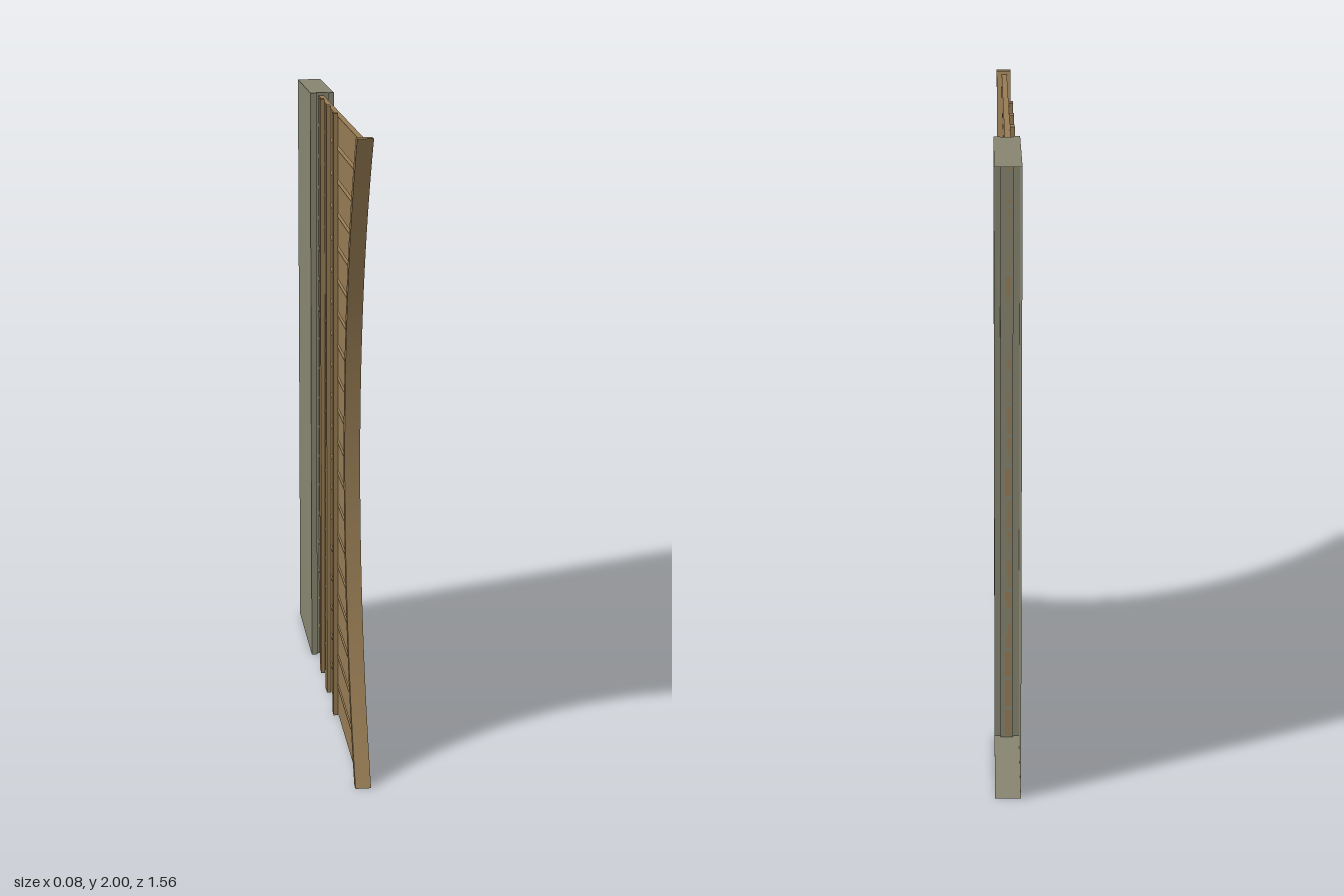
import * as THREE from 'three';
import { toCreasedNormals } from 'three/addons/utils/BufferGeometryUtils.js';

const wood = new THREE.MeshStandardMaterial({ color: 0x967b53 });
wood.name = 'wood';
const post = new THREE.MeshStandardMaterial({ color: 0x878570, side: THREE.DoubleSide });
post.name = 'greyPost';

// Concave front edge: an arc through (z 0.78, y 0), (z 0.49, y 1), (z 0.78, y 2)
const RADIUS = 1.869;
const arcZ = (y, inset = 0) => {
  const r = RADIUS + inset;
  return 0.49 + RADIUS - Math.sqrt(r * r - (y - 1) ** 2);
};
const SEGMENTS = 40;
const BACK = -0.37;

// Extrudes a side profile given as [z, y] points from xMin to xMax
function sidePanel(points, xMin, xMax) {
  const shape = new THREE.Shape(points.map(([z, y]) => new THREE.Vector2(z, y)));
  const geometry = new THREE.ExtrudeGeometry(shape, { depth: xMax - xMin, bevelEnabled: false });
  geometry.rotateY(-Math.PI / 2).translate(xMax, 0, 0);
  return toCreasedNormals(geometry, 0.4);
}

function addMesh(group, name, geometry, material) {
  const mesh = new THREE.Mesh(geometry, material);
  mesh.name = name;
  group.add(mesh);
}

// Hollow post: recessed front, capped top and bottom, open at the back
function postGeometry() {
  const profile = [
    [-0.04, 0.78], [-0.04, 0.36], [-0.02, 0.36], [-0.02, -BACK],
    [0.02, -BACK], [0.02, 0.36], [0.04, 0.36], [0.04, 0.78],
  ];
  const shape = new THREE.Shape(profile.map(([x, y]) => new THREE.Vector2(x, y)));
  const solid = new THREE.ExtrudeGeometry(shape, { depth: 2, bevelEnabled: false });
  solid.rotateX(-Math.PI / 2);
  const p = solid.attributes.position;
  const kept = [];
  for (let i = 0; i < p.count; i += 3) {
    const onBack = [0, 1, 2].every((k) => p.getZ(i + k) < -0.779);
    if (onBack) continue;
    for (let k = 0; k < 3; k++) kept.push(p.getX(i + k), p.getY(i + k), p.getZ(i + k));
  }
  const geometry = new THREE.BufferGeometry();
  geometry.setAttribute('position', new THREE.Float32BufferAttribute(kept, 3));
  geometry.computeVertexNormals();
  return geometry;
}

export function createModel() {
  const model = new THREE.Group();
  model.name = 'slattedPanel';

  addMesh(model, 'post', postGeometry(), post);

  // Horizontal slats, their front ends tucked into the curved rim
  const slats = new THREE.Group();
  slats.name = 'slats';
  for (let i = 0; i < 19; i++) {
    const y0 = 0.01 + i * 0.105;
    const y1 = y0 + 0.09;
    const outline = [[BACK, y0], [arcZ(y0, 0) - 0.015, y0], [arcZ(y1, 0) - 0.015, y1], [BACK, y1]];
    addMesh(slats, 'slat', sidePanel(outline, -0.012, 0.006), wood);
  }
  model.add(slats);

  // Upright battens behind the slats
  for (const z of [0.18, -0.02, -0.2]) {
    const batten = new THREE.BoxGeometry(0.014, 2, 0.04);
    batten.translate(-0.019, 1, z);
    addMesh(model, 'batten', batten, wood);
  }

  // Curved rim along the front edge
  const outer = [];
  const inner = [];
  for (let i = 0; i <= SEGMENTS; i++) {
    const y = (2 * i) / SEGMENTS;
    outer.push([arcZ(y), y]);
    inner.unshift([arcZ(y, 0.028) - 0.0, y]);
  }
  // The inner edge follows the same centre, offset towards the slats
  addMesh(model, 'curvedRim', sidePanel([...outer, ...inner], -0.025, 0.023), wood);

  return model;
}
